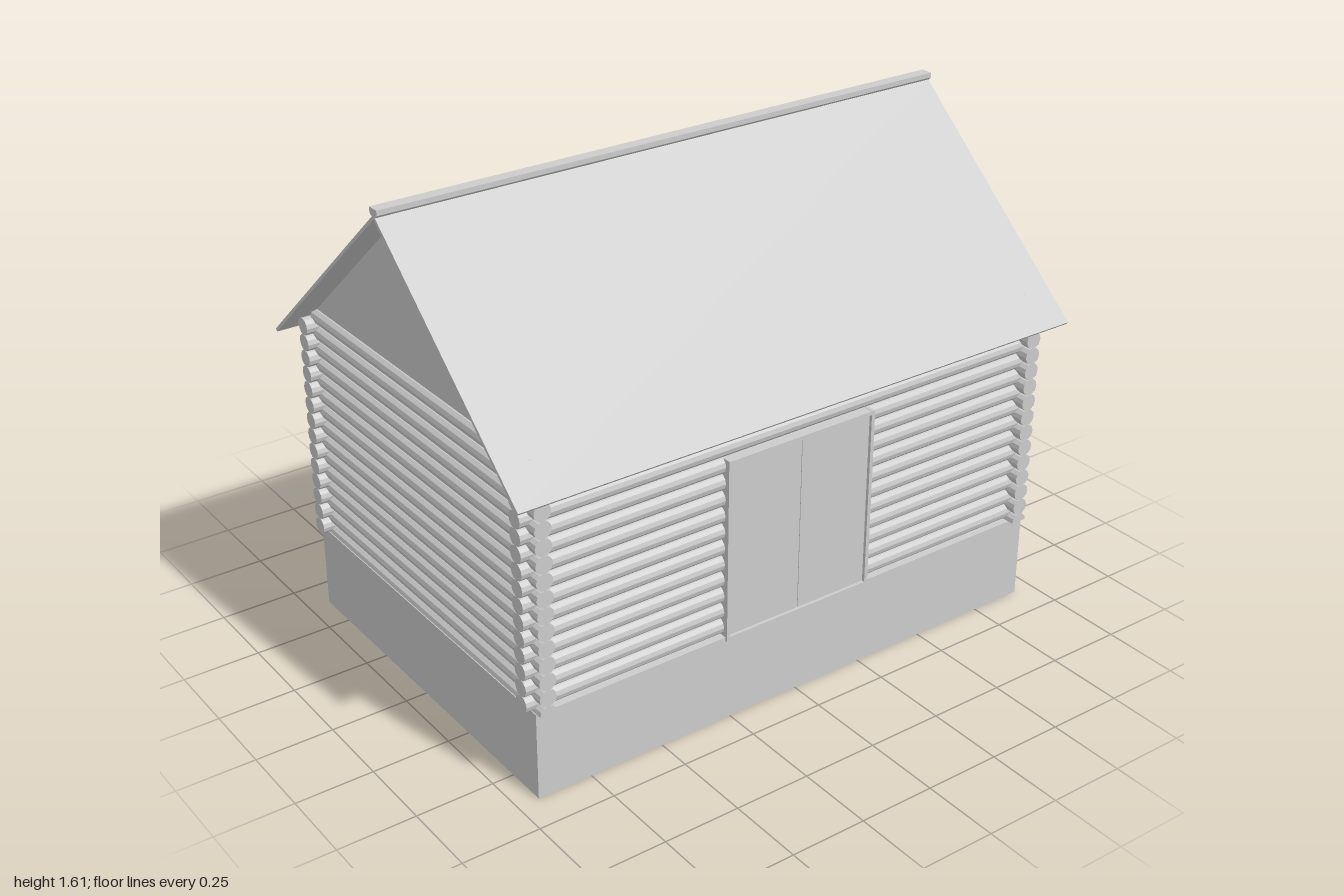
import * as THREE from 'three';

export function createModel() {
  const group = new THREE.Group();
  const grey = new THREE.MeshStandardMaterial({ color: 0xcccccc });
  grey.name = 'lightGrey';

  const add = (name, geo, x = 0, y = 0, z = 0, parent = group) => {
    const mesh = new THREE.Mesh(geo, grey);
    mesh.name = name;
    mesh.position.set(x, y, z);
    parent.add(mesh);
    return mesh;
  };
  const box = (name, w, h, d, x, y, z, parent) =>
    add(name, new THREE.BoxGeometry(w, h, d), x, y, z, parent);

  // Faceted log lying along x, or only its upper half
  const R = 0.028;
  const logGeometry = (length, half = false) => {
    const geo = new THREE.CylinderGeometry(R, R, length, half ? 6 : 12, 1, false, 0, half ? Math.PI : Math.PI * 2)
      .rotateZ(Math.PI / 2).toNonIndexed();
    geo.computeVertexNormals();
    return geo;
  };
  // Outline in (z, y), extruded along x and centred
  const extrudeAlongX = (points, width) =>
    new THREE.ExtrudeGeometry(new THREE.Shape(points.map(p => new THREE.Vector2(...p))),
      { depth: width, bevelEnabled: false }).translate(0, 0, -width / 2).rotateY(Math.PI / 2);

  // Foundation
  box('foundation', 1.86, 0.287, 1.27, 0, 0.1435, 0);

  // Log walls, the two directions staggered by half a log
  const pitch = 0.0538, base = 0.315, doorHalf = 0.265, doorTop = 0.865;
  const walls = new THREE.Group();
  walls.name = 'logWalls';
  group.add(walls);
  const fullLog = logGeometry(1.91);
  const splitLength = 0.955 - doorHalf;
  const splitLog = logGeometry(splitLength);
  for (let i = 0; i < 14; i++) {
    const y = base + i * pitch;
    add('backLog', fullLog, 0, y, -0.6, walls);
    if (y < doorTop) {
      for (const s of [-1, 1]) add('frontLog', splitLog, s * (doorHalf + splitLength / 2), y, 0.6, walls);
    } else add('frontLog', fullLog, 0, y, 0.6, walls);
  }
  const halfSideLog = logGeometry(1.31, true).rotateY(Math.PI / 2);
  const sideLog = logGeometry(1.31).rotateY(Math.PI / 2);
  const topSideLog = logGeometry(1.2).rotateY(Math.PI / 2);
  for (const s of [-1, 1]) {
    for (let i = 0; i < 15; i++) {
      const geo = i === 0 ? halfSideLog : i < 13 ? sideLog : topSideLog;
      add('sideLog', geo, s * 0.9, base + (i - 0.5) * pitch, 0, walls);
    }
  }

  // Gables
  const gable = extrudeAlongX([[-0.6, 1.055], [0.6, 1.055], [0, 1.577]], 0.02);
  for (const s of [-1, 1]) add('gable', gable, s * 0.9, 0, 0);

  // Roof slopes and ridge cap
  add('roof', extrudeAlongX([
    [0, 1.588], [-0.697, 0.984], [-0.69, 0.976], [0, 1.574], [0.69, 0.976], [0.697, 0.984],
  ], 2));
  add('ridgeCap', extrudeAlongX([
    [-0.012, 1.582], [0.012, 1.582], [0.02, 1.59], [0.02, 1.606], [-0.02, 1.606], [-0.02, 1.59],
  ], 2));

  // Double door with frame
  const door = new THREE.Group();
  door.name = 'door';
  group.add(door);
  const height = 0.585, midY = 0.578;
  for (const s of [-1, 1]) {
    box('doorLeaf', 0.255, height, 0.03, s * 0.1315, midY, 0.617, door);
    box('doorPost', 0.012, 0.6, 0.05, s * 0.264, midY, 0.617, door);
  }
  box('doorSeamStrip', 0.01, height, 0.025, 0, midY, 0.617, door);
  box('doorLintel', 0.54, 0.012, 0.05, 0, 0.871, 0.617, door);
  box('doorSill', 0.54, 0.014, 0.03, 0, 0.281, 0.627, door);

  return group;
}
